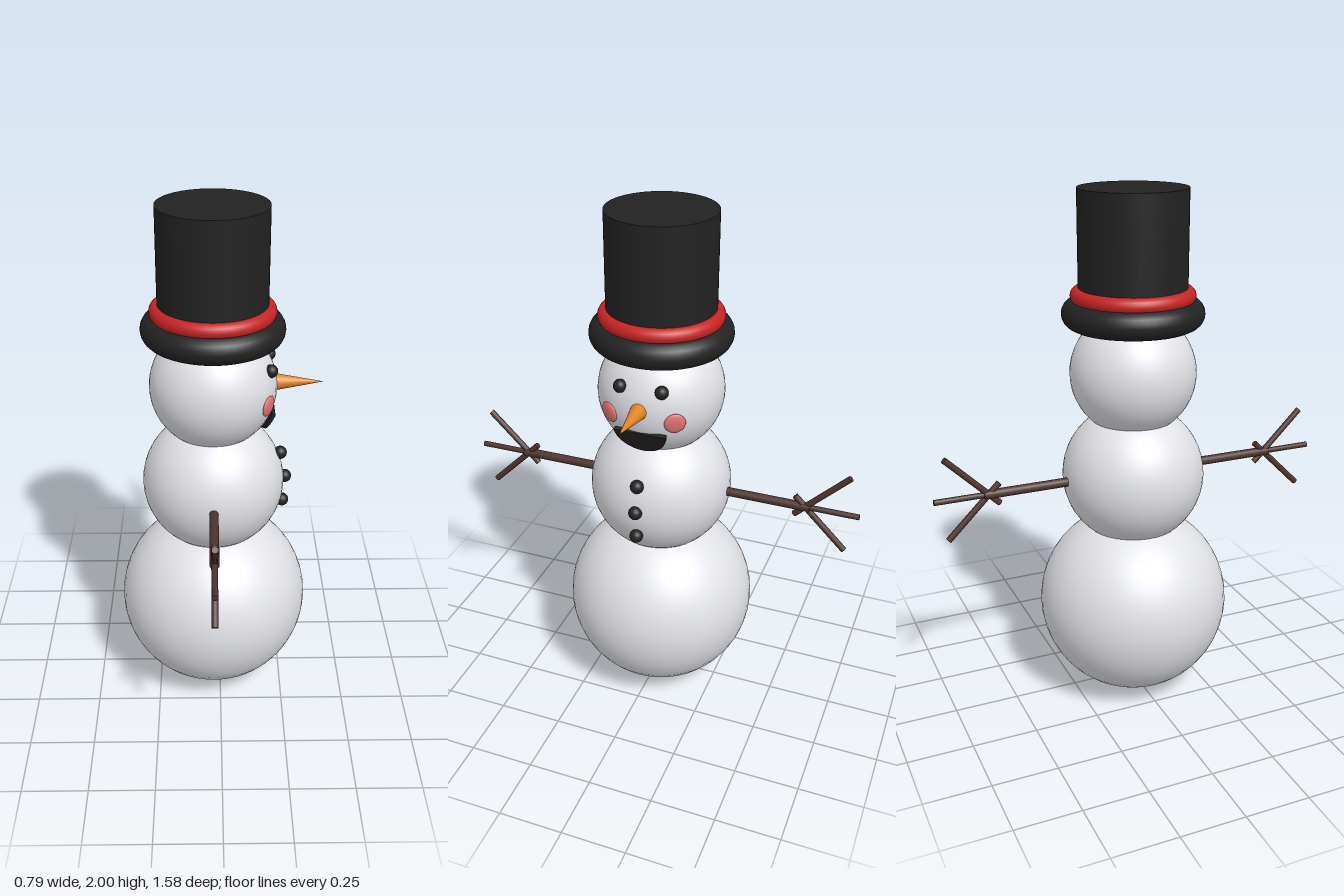
import * as THREE from 'three';

const mat = (name, color) => {
  const m = new THREE.MeshStandardMaterial({ color });
  m.name = name;
  return m;
};

export function createModel() {
  const snow = mat('snow', 0xe8e9ee);
  const black = mat('coal black', 0x222222);
  const red = mat('band red', 0xc62424);
  const orange = mat('carrot orange', 0xe08423);
  const pink = mat('cheek pink', 0xe57373);
  const brown = mat('twig brown', 0x4e342e);

  const root = new THREE.Group();
  root.name = 'snowman';
  const body = new THREE.Group();
  body.name = 'figure';
  body.position.x = -0.026; // the nose shifts the centre of the bounds
  root.add(body);

  const add = (name, geometry, material, x = 0, y = 0, z = 0, parent = body) => {
    const mesh = new THREE.Mesh(geometry, material);
    mesh.name = name;
    mesh.position.set(x, y, z);
    parent.add(mesh);
    return mesh;
  };
  const ball = (r, n = 48) => new THREE.SphereGeometry(r, n, n / 2);

  // Three stacked snowballs
  add('base', ball(0.373), snow, 0, 0.376);
  add('torso', ball(0.275), snow, 0, 0.912);
  add('head', ball(0.24), snow, 0, 1.317);

  // Top hat: rolled brim, band and crown
  const ring = (r, tube) => new THREE.TorusGeometry(r, tube, 20, 64).rotateX(Math.PI / 2);
  add('hatBrim', ring(0.214, 0.053), black, 0, 1.546);
  add('hatBand', ring(0.203, 0.03), red, 0, 1.613);
  add('hatCrown', new THREE.CylinderGeometry(0.203, 0.203, 0.4, 64), black, 0, 1.8);

  // Coat buttons
  for (const [x, y] of [[0.26, 1.026], [0.28, 0.922], [0.272, 0.814]]) {
    add('button', ball(0.026, 20), black, x, y);
  }

  // Carrot nose
  add('nose', new THREE.ConeGeometry(0.036, 0.204, 32).rotateZ(-Math.PI / 2), orange, 0.312, 1.328);

  // Smile: a tilted half disc
  const smile = new THREE.Shape();
  smile.absarc(0, 0, 0.1, Math.PI, 2 * Math.PI, false);
  smile.closePath();
  const smileGeometry = new THREE.ExtrudeGeometry(smile, { depth: 0.015, bevelEnabled: false, curveSegments: 32 });
  smileGeometry.rotateY(Math.PI / 2).rotateZ(-0.41);
  add('mouth', smileGeometry, black, 0.217, 1.242);

  // A twig running in the y-z plane between two points
  const twig = (name, r, [y0, z0], [y1, z1], parent) => {
    const geometry = new THREE.CylinderGeometry(r, r, Math.hypot(y1 - y0, z1 - z0), 14);
    const mesh = add(name, geometry, brown, 0, (y0 + y1) / 2, (z0 + z1) / 2, parent);
    mesh.rotation.x = Math.atan2(z1 - z0, y1 - y0);
  };

  for (const side of [1, -1]) {
    add('eye', ball(0.025, 20), black, 0.212, 1.407, side * 0.08);

    // Flattened cheek lying along the head's surface
    const cheek = add('cheek', ball(0.04, 28).scale(1, 1, 0.3), pink, 0.202, 1.288, side * 0.127);
    cheek.lookAt(0.404, 1.259, side * 0.254);

    const arm = new THREE.Group();
    arm.name = side > 0 ? 'armFront' : 'armBack';
    body.add(arm);
    twig('forearm', 0.0175, [0.914, side * 0.22], [0.914, side * 0.6], arm);
    twig('middleFinger', 0.011, [0.914, side * 0.53], [0.914, side * 0.788], arm);
    twig('upperFinger', 0.012, [0.874, side * 0.54], [1.073, side * 0.742], arm);
    twig('lowerFinger', 0.012, [0.954, side * 0.54], [0.755, side * 0.742], arm);
  }
  return root;
}
